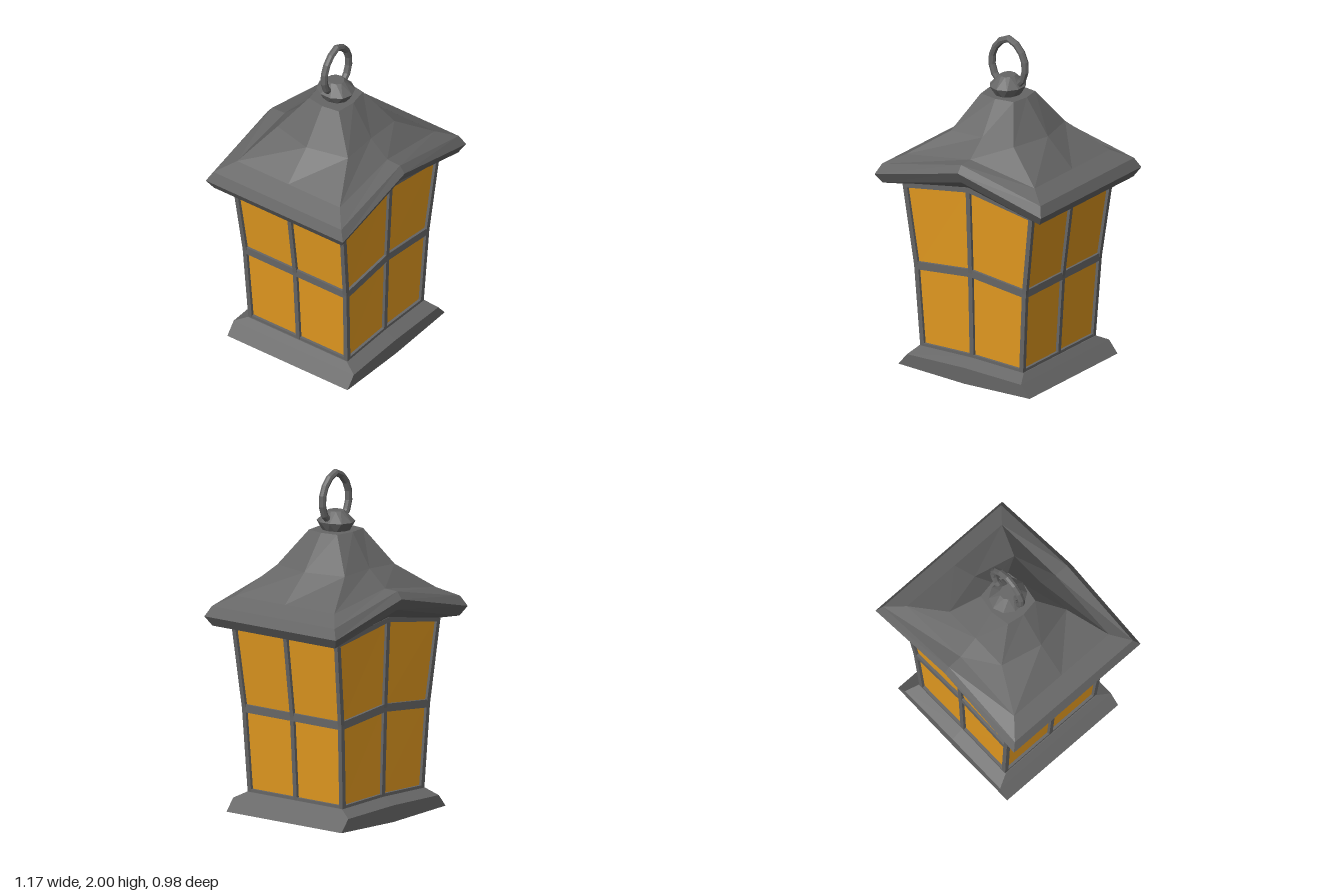
import * as THREE from 'three';

const metal = new THREE.MeshStandardMaterial({ color: 0x666666, flatShading: true });
const amber = new THREE.MeshStandardMaterial({ color: 0xe39a20, flatShading: true });

// Eight-point rectangular ring; front/back midpoints may rise (yf), midpoints may bulge (xs, zf)
function ring(x, y, z, yf = y, xs = x, zf = z) {
  return [
    [xs, y, 0], [x, y, z], [0, yf, zf], [-x, y, z],
    [-xs, y, 0], [-x, y, -z], [0, yf, -zf], [x, y, -z],
  ].map((p) => new THREE.Vector3(...p));
}

// Joins equal-sized rings into a closed, faceted solid
function loft(name, rings, material) {
  const points = [];
  const n = rings[0].length;
  const tri = (...v) => v.forEach((p) => points.push(p));
  const middle = (r) => r.reduce((s, p) => s.add(p), new THREE.Vector3()).divideScalar(n);
  const bottom = rings[0], top = rings[rings.length - 1];
  const bc = middle(bottom), tc = middle(top);
  for (let i = 0; i < n; i++) {
    const j = (i + 1) % n;
    for (let k = 0; k < rings.length - 1; k++) {
      const a = rings[k], b = rings[k + 1];
      tri(a[i], b[i], a[j]);
      tri(a[j], b[i], b[j]);
    }
    tri(bc, bottom[i], bottom[j]);
    tri(tc, top[j], top[i]);
  }
  const geo = new THREE.BufferGeometry().setFromPoints(points);
  geo.computeVertexNormals();
  const mesh = new THREE.Mesh(geo, material);
  mesh.name = name;
  return mesh;
}

// Rectangular bar from a to b
function bar(name, a, b, w, h, up) {
  const mesh = new THREE.Mesh(new THREE.BoxGeometry(w, h, a.distanceTo(b) + 0.012), metal);
  mesh.name = name;
  mesh.up.copy(up);
  mesh.position.copy(a).add(b).multiplyScalar(0.5);
  mesh.lookAt(b);
  return mesh;
}

function createFrame(levels) {
  const frame = new THREE.Group();
  frame.name = 'frame';
  const up = new THREE.Vector3(0, 1, 0);
  const forward = new THREE.Vector3(0, 0, 1);
  const railHeights = [0.03, 0.046, 0.03];
  levels.forEach((level, k) => {
    for (let i = 0; i < 8; i++) {
      frame.add(bar('rail', level[i], level[(i + 1) % 8], 0.026, railHeights[k], up));
      // Odd points are corners, even points carry the centre mullions
      if (k < 2) {
        const name = i % 2 ? 'cornerPost' : 'mullion';
        frame.add(bar(name, level[i], levels[k + 1][i], 0.028, 0.026, forward));
      }
    }
  });
  return frame;
}

// Faceted knob: each ring is turned half a step from the one below
function createKnob() {
  const n = 10;
  const rings = [[0.08, 1.64], [0.115, 1.7], [0.05, 1.76]].map(([r, y], k) =>
    Array.from({ length: n }, (_, i) => {
      const t = ((i + k / 2) / n) * Math.PI * 2;
      return new THREE.Vector3(0.9 * r * Math.cos(t), y, r * Math.sin(t));
    }));
  return loft('knob', rings, metal);
}

// Hanging loop with a slightly pointed top
function createLoop() {
  const half = [[0.065, 1.945], [0.107, 1.88], [0.117, 1.815], [0.1, 1.75], [0.06, 1.705]];
  const pts = [[0, 1.98], ...half, [0, 1.695], ...half.map(([x, y]) => [-x, y]).reverse()];
  const path = new THREE.CatmullRomCurve3(
    pts.map(([x, y]) => new THREE.Vector3(x + 0.004, y, 0)), true);
  const mesh = new THREE.Mesh(new THREE.TubeGeometry(path, 14, 0.021, 8, true), metal);
  mesh.name = 'hangingLoop';
  return mesh;
}

export function createModel() {
  const model = new THREE.Group();
  model.name = 'lantern';

  // Flared base
  model.add(loft('base', [
    ring(0.46, 0.018, 0.427, 0.003),
    ring(0.4, 0.09, 0.427, 0.1),
    ring(0.365, 0.13, 0.352, 0.14),
  ], metal));

  // Tapered body: amber panes behind a grid of bars
  model.add(loft('glass', [
    ring(0.343, 0.13, 0.336, 0.14),
    ring(0.374, 0.62, 0.352, 0.66),
    ring(0.437, 1.11, 0.376, 1.185),
  ], amber));
  model.add(createFrame([
    ring(0.347, 0.132, 0.34, 0.142),
    ring(0.378, 0.62, 0.356, 0.66),
    ring(0.441, 1.106, 0.38, 1.178),
  ]));

  // Roof: underside, rim, eaves, steep slope, flat top
  model.add(loft('roof', [
    ring(0.445, 1.11, 0.385, 1.19),
    ring(0.55, 1.115, 0.455, 1.245),
    ring(0.583, 1.17, 0.488, 1.31),
    ring(0.555, 1.23, 0.455, 1.352),
    ring(0.45, 1.285, 0.365, 1.356),
    ring(0.22, 1.445, 0.25, 1.455, 0.28, 0.25),
    ring(0.115, 1.65, 0.105, 1.65, 0.132, 0.124),
  ], metal));

  model.add(createKnob(), createLoop());
  return model;
}
